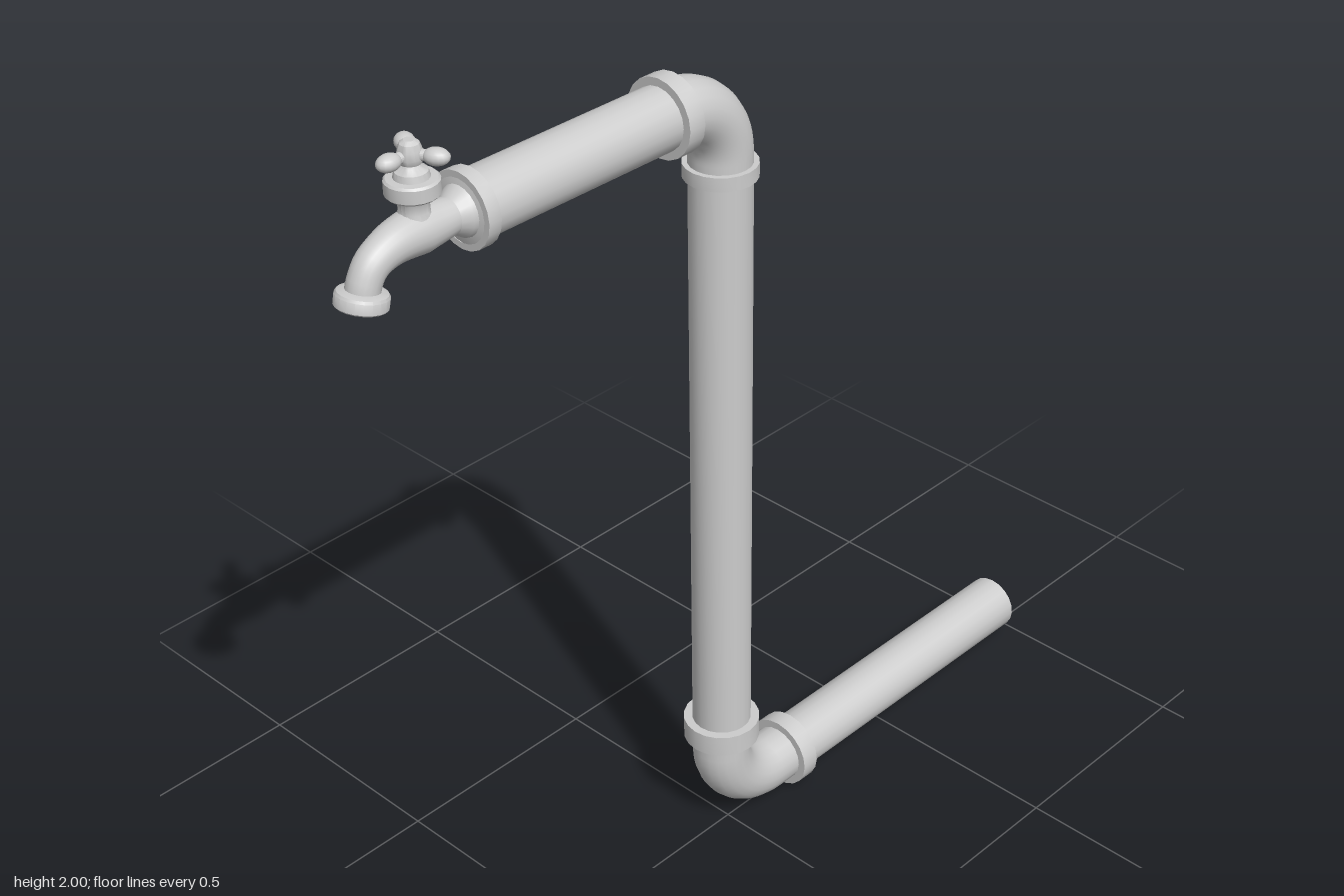
import * as THREE from 'three';
import { toCreasedNormals } from 'three/addons/utils/BufferGeometryUtils.js';

const V = (x, y, z = 0) => new THREE.Vector3(x, y, z);
const SIDES = 20, PIPE_R = 0.065;
const LOW_Y = 0.083, HIGH_Y = 1.825, RISER_X = -0.021, TAP_X = -0.781;

export function createModel() {
  const model = new THREE.Group();
  model.name = 'pipeWithTap';
  const metal = new THREE.MeshStandardMaterial({ color: 0xcccccc, side: THREE.DoubleSide });
  metal.name = 'greyMetal';

  const add = (name, geometry, parent = model) => {
    const mesh = new THREE.Mesh(geometry, metal);
    mesh.name = name;
    parent.add(mesh);
    return mesh;
  };

  // Turned part: [radius, distance] pairs spun about the line from "from" along "dir"
  const turned = (name, profile, from, dir, parent = model) => {
    const geo = new THREE.LatheGeometry(profile.map(([r, h]) => new THREE.Vector2(r, h)), SIDES);
    const mesh = add(name, toCreasedNormals(geo, 0.6), parent);
    mesh.position.copy(from);
    mesh.quaternion.setFromUnitVectors(V(0, 1), dir.clone().normalize());
    return mesh;
  };

  // Open straight pipe
  const pipe = (name, a, b) => {
    const dir = b.clone().sub(a);
    return turned(name, [[PIPE_R, 0], [PIPE_R, dir.length()]], a, dir);
  };

  // Collar ring with flat, square-edged sides
  const collar = (name, a, b, r) => {
    const dir = b.clone().sub(a), w = dir.length();
    return turned(name, [[PIPE_R - 0.002, 0], [r, 0], [r, w], [PIPE_R - 0.002, w]], a, dir);
  };

  // Elbow: straight, quarter bend, straight
  const elbow = (name, a, corner, b, bend) => {
    const p = corner.clone().addScaledVector(a.clone().sub(corner).normalize(), bend);
    const q = corner.clone().addScaledVector(b.clone().sub(corner).normalize(), bend);
    const path = new THREE.CurvePath();
    path.add(new THREE.LineCurve3(a, p));
    path.add(new THREE.CubicBezierCurve3(p, p.clone().lerp(corner, 0.55), q.clone().lerp(corner, 0.55), q));
    path.add(new THREE.LineCurve3(q, b));
    return add(name, new THREE.TubeGeometry(path, 24, PIPE_R, SIDES));
  };

  // Pipe run
  pipe('lowerPipe', V(0.19, LOW_Y), V(0.96, LOW_Y));
  pipe('riserPipe', V(RISER_X, 0.28), V(RISER_X, 1.66));
  pipe('upperPipe', V(-0.67, HIGH_Y), V(-0.17, HIGH_Y));
  elbow('lowerElbow', V(RISER_X, 0.28), V(RISER_X, LOW_Y), V(0.19, LOW_Y), 0.14);
  elbow('upperElbow', V(-0.17, HIGH_Y), V(RISER_X, HIGH_Y), V(RISER_X, 1.66), 0.13);

  // Collars at the joints
  collar('lowerPipeCollar', V(0.168, LOW_Y), V(0.21, LOW_Y), 0.083);
  collar('riserLowerCollar', V(RISER_X, 0.258), V(RISER_X, 0.308), 0.084);
  collar('riserUpperCollar', V(RISER_X, 1.647), V(RISER_X, 1.677), 0.076);
  collar('upperPipeCollar', V(-0.188, HIGH_Y), V(-0.148, HIGH_Y), 0.082);
  collar('tapCollar', V(-0.68, HIGH_Y), V(-0.651, HIGH_Y), 0.076);

  // Tap
  const tap = new THREE.Group();
  tap.name = 'tap';
  model.add(tap);
  turned('tapConnector', [[0.066, 0], [0.05, 0.004], [0.047, 0.012], [0.034, 0.032], [0.032, 0.036]],
    V(-0.676, HIGH_Y), V(-1, 0), tap);

  // Curved body with a radius that swells under the valve and narrows at the spout
  const path = new THREE.CatmullRomCurve3([
    V(-0.69, 1.825), V(-0.735, 1.826), V(-0.785, 1.827), V(-0.84, 1.821),
    V(-0.882, 1.801), V(-0.901, 1.773), V(-0.908, 1.748),
  ]);
  const radii = [0.033, 0.039, 0.045, 0.04, 0.035, 0.032, 0.032];
  const steps = 28, body = new THREE.TubeGeometry(path, steps, 1, SIDES);
  const pos = body.attributes.position, v = V(0, 0);
  for (let i = 0; i < pos.count; i++) {
    const t = Math.floor(i / (SIDES + 1)) / steps;
    const k = Math.min(t * 6, 5.999), j = Math.floor(k);
    const center = path.getPointAt(t);
    v.fromBufferAttribute(pos, i).sub(center)
      .multiplyScalar(THREE.MathUtils.lerp(radii[j], radii[j + 1], k - j)).add(center);
    pos.setXYZ(i, v.x, v.y, v.z);
  }
  add('tapBody', body, tap);
  turned('spoutLip', [[0, 0], [0.035, 0], [0.046, 0.004], [0.049, 0.009], [0.049, 0.029], [0.046, 0.032], [0, 0.032]],
    V(-0.905, 1.762), V(-0.22, -0.975), tap);

  // Valve bonnet and stem
  turned('valve', [[0.034, 1.85], [0.028, 1.868], [0.028, 1.885], [0.033, 1.896], [0.046, 1.897], [0.05, 1.901],
    [0.05, 1.926], [0.046, 1.93], [0.033, 1.931], [0.03, 1.943], [0.018, 1.951], [0.013, 1.96]],
    V(TAP_X, 0), V(0, 1), tap);
  turned('handleHub', [[0, 1.955], [0.02, 1.957], [0.024, 1.967], [0.022, 1.982], [0.018, 1.994], [0.01, 2], [0, 2]],
    V(TAP_X, 0), V(0, 1), tap);

  // Three rounded grips around the hub
  for (let i = 0; i < 3; i++) {
    const arm = new THREE.Group();
    arm.name = 'handleArm';
    arm.position.set(TAP_X, 1.973, 0);
    arm.rotation.y = Math.PI + i * Math.PI * 2 / 3;
    tap.add(arm);
    turned('handleSpoke', [[0.011, 0], [0.01, 0.045]], V(0, 0), V(1, 0), arm);
    const grip = add('handleGrip', new THREE.SphereGeometry(1, 16, 10), arm);
    grip.scale.set(0.025, 0.016, 0.019);
    grip.position.x = 0.047;
  }
  return model;
}
